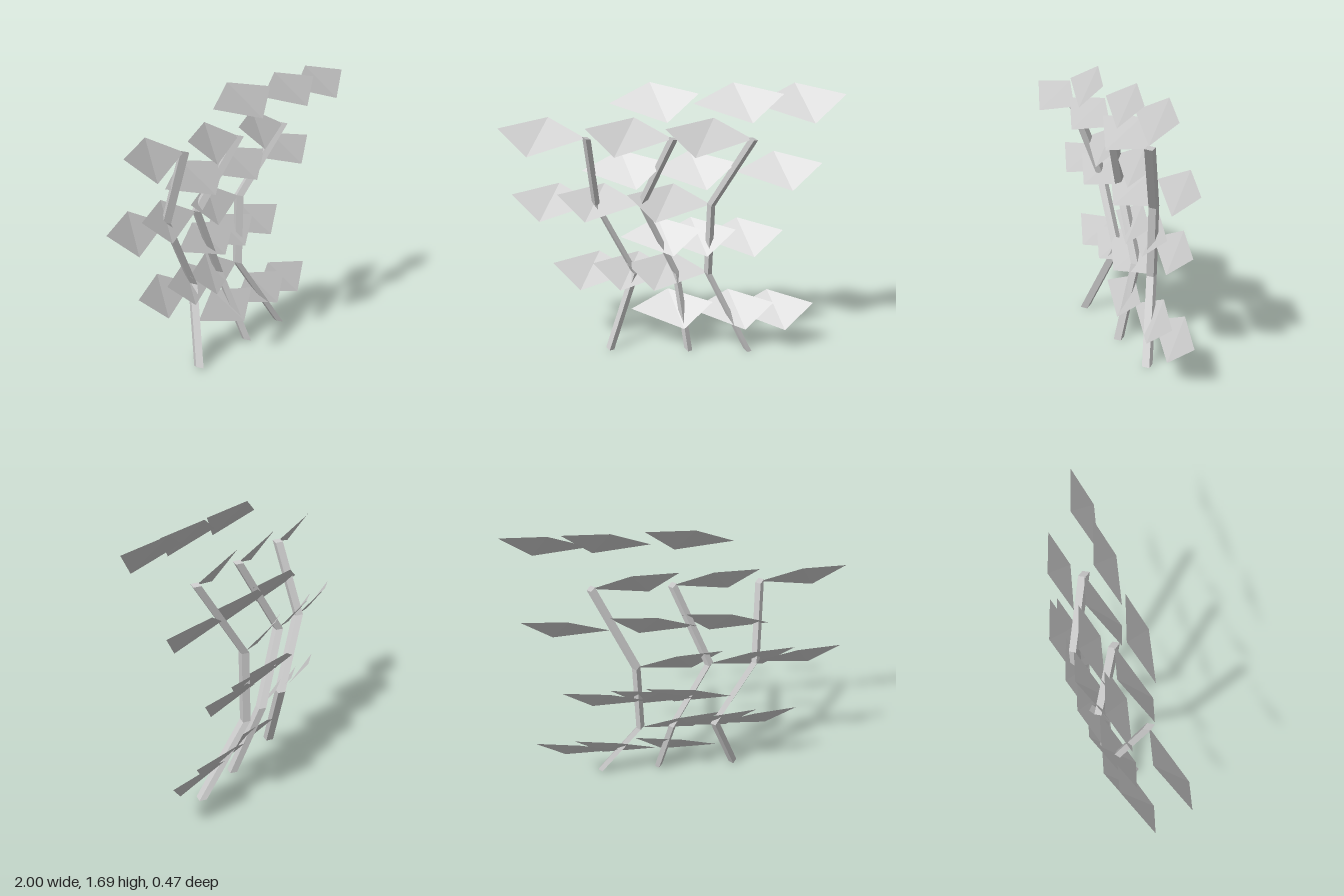
import * as THREE from 'three';

const grey = new THREE.MeshStandardMaterial({ color: 0xc8c8c8, side: THREE.DoubleSide, flatShading: true });
grey.name = 'pale grey';

function mesh(name, points, index) {
  let g = new THREE.BufferGeometry();
  g.setAttribute('position', new THREE.Float32BufferAttribute(points, 3));
  g.setIndex(index);
  g = g.toNonIndexed();
  g.computeVertexNormals();
  const m = new THREE.Mesh(g, grey);
  m.name = name;
  return m;
}

// Stem: diamond cross-section swept through bent nodes
const nodeY = [0.008, 0.46, 0.905, 1.352];
const nodeZ = [0.04, -0.12, -0.12, 0.045];
function stem(xs) {
  const pts = [], idx = [], n = 4;
  xs.forEach((x, k) => {
    for (let i = 0; i < n; i++) {
      const a = (i / n) * Math.PI * 2;
      pts.push(x + 0.025 * Math.cos(a), nodeY[k] - 0.008 * Math.cos(a), nodeZ[k] + 0.036 * Math.sin(a));
    }
  });
  for (let k = 0; k < xs.length - 1; k++) {
    for (let i = 0; i < n; i++) {
      const a = k * n + i, b = k * n + (i + 1) % n;
      idx.push(a, a + n, b + n, a, b + n, b);
    }
  }
  const t = (xs.length - 1) * n;
  idx.push(0, 1, 2, 0, 2, 3, t, t + 2, t + 1, t, t + 3, t + 2);
  return mesh('stem', pts, idx);
}

// Leaf: a diamond folded across its middle; side is +1 or -1 along x
function leaf(side, x, y, z) {
  const pts = [
    0, 0, 0,
    side * 0.228, 0.112, -0.075,
    side * 0.51, 0.063, 0.03,
    side * 0.335, -0.092, 0.1,
  ];
  const idx = side > 0 ? [0, 3, 1, 1, 3, 2] : [0, 1, 3, 1, 2, 3];
  const m = mesh(side > 0 ? 'leftLeaf' : 'rightLeaf', pts, idx);
  m.position.set(x, y, z);
  return m;
}

export function createModel() {
  const group = new THREE.Group();
  group.name = 'plant';

  const stems = [
    [-0.37, -0.22, -0.455, -0.485],
    [0.12, 0.04, -0.175, 0.025],
    [0.49, 0.24, 0.255, 0.495],
  ];
  stems.forEach((xs) => group.add(stem(xs)));

  // Rows of leaves: side, height, depth, one x per stem
  const rows = [
    [1, 0.235, -0.06, [-0.24, 0.14, 0.385]],
    [-1, 0.46, -0.13, [-0.22, 0.03, 0.24]],
    [1, 0.68, -0.155, [-0.31, -0.10, 0.19]],
    [-1, 0.905, -0.125, [-0.46, -0.18, 0.25]],
    [1, 1.13, -0.06, [-0.53, -0.11, 0.40]],
    [-1, 1.35, 0.045, [-0.49, 0.02, 0.49]],
    [1, 1.573, 0.135, [-0.34, 0.14, 0.49]],
  ];
  for (const [side, y, z, xs] of rows) {
    for (const x of xs) group.add(leaf(side, x, y, z));
  }
  return group;
}
